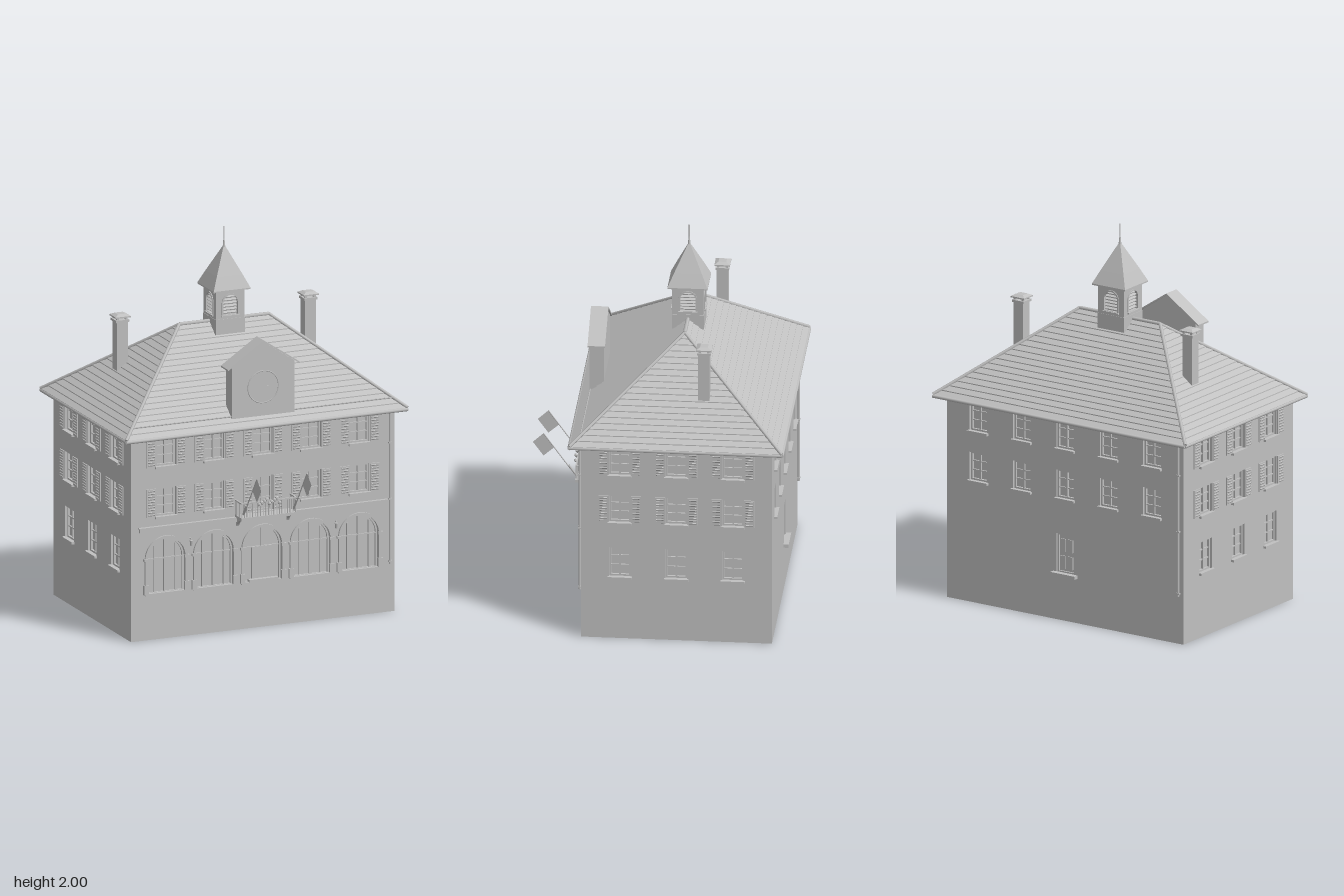
import * as THREE from 'three';

const stone = new THREE.MeshStandardMaterial({ color: 0xc0c0c0 });
stone.name = 'pale grey';
const thinStone = new THREE.MeshStandardMaterial({ color: 0xc0c0c0, side: THREE.DoubleSide });
thinStone.name = 'pale grey cloth';

const HX = 0.735, HZ = 0.49, ZC = -0.12; // wall half sizes and depth centre
const COLS = [-0.54, -0.27, 0, 0.27, 0.54];

function add(parent, name, geo, x = 0, y = 0, z = 0, mat = stone) {
  const m = new THREE.Mesh(geo, mat);
  m.name = name;
  m.position.set(x, y, z);
  parent.add(m);
  return m;
}
const box = (p, name, w, h, d, x, y, z) => add(p, name, new THREE.BoxGeometry(w, h, d), x, y, z);

function rod(p, name, a, b, r, sides = 8) {
  const A = new THREE.Vector3(...a), B = new THREE.Vector3(...b);
  const m = add(p, name, new THREE.CylinderGeometry(r, r, A.distanceTo(B), sides));
  m.position.copy(A).add(B).multiplyScalar(0.5);
  m.quaternion.setFromUnitVectors(new THREE.Vector3(0, 1, 0), B.sub(A).normalize());
  return m;
}

// Outline of an opening, square or round-headed
function outline(T, u, y0, y1, w, arch) {
  const s = new T(), h = w / 2;
  s.moveTo(u - h, y0);
  s.lineTo(u + h, y0);
  if (arch) {
    s.lineTo(u + h, y1 - h);
    s.absarc(u, y1 - h, h, 0, Math.PI, false);
  } else {
    s.lineTo(u + h, y1);
    s.lineTo(u - h, y1);
  }
  s.lineTo(u - h, y0);
  return s;
}
const extrude = (shape, depth) =>
  new THREE.ExtrudeGeometry(shape, { depth, bevelEnabled: false, curveSegments: 12 });

// Flat ring that follows an opening
function frame(p, name, o, out, inn, depth, z) {
  const s = outline(THREE.Shape, o.u, o.y0 - (o.arch ? 0 : out), o.y1 + out, o.w + 2 * out, o.arch);
  s.holes.push(outline(THREE.Path, o.u, o.y0 + (o.arch ? 0.002 : inn), o.y1 - inn, o.w - 2 * inn, o.arch));
  add(p, name, extrude(s, depth), 0, 0, z);
}

function windowParts(p, o) {
  const h = o.y1 - o.y0, mid = (o.y0 + o.y1) / 2;
  frame(p, 'windowFrame', o, 0, 0.009, 0.012, -0.024);
  if (o.door) {
    box(p, 'doorLeaf', o.w - 0.02, h - 0.02, 0.008, o.u, mid, -0.022);
    for (const s of [-1, 1]) for (const f of [0.27, 0.7])
      box(p, 'doorPanel', o.w * 0.28, h * 0.32, 0.008, o.u + s * o.w * 0.2, o.y0 + h * f, -0.017);
    return;
  }
  box(p, 'mullion', 0.009, h - 0.006, 0.01, o.u, o.arch ? mid - 0.004 : mid, -0.02);
  for (const f of o.arch ? [0.62] : [0.36, 0.68])
    box(p, 'glazingBar', o.w - 0.012, 0.006, 0.008, o.u, o.y0 + h * f, -0.02);
  if (o.arch) return;
  box(p, 'sill', o.w + 0.014, 0.012, 0.02, o.u, o.y0 - 0.004, 0.006);
  if (!o.shutters) return;
  for (const s of [-1, 1]) {
    const x = o.u + s * (o.w / 2 + 0.029);
    box(p, 'shutter', 0.052, h, 0.006, x, mid, 0.004);
    for (let i = 0; i < 10; i++)
      box(p, 'shutterLouver', 0.038, 0.006, 0.004, x, o.y0 + h * (i + 0.8) / 10.6, 0.008).rotation.x = 0.5;
  }
}

function wall(parent, name, width, openings) {
  const g = new THREE.Group();
  g.name = name;
  const s = new THREE.Shape();
  const h = width / 2;
  s.moveTo(-h, 0); s.lineTo(h, 0); s.lineTo(h, 1.09); s.lineTo(-h, 1.09);
  for (const o of openings) s.holes.push(outline(THREE.Path, o.u, o.y0, o.y1, o.w, o.arch));
  add(g, 'wallFace', extrude(s, 0.03), 0, 0, -0.03);
  openings.forEach(o => windowParts(g, o));
  parent.add(g);
  return g;
}

// Stepped surface from rectangular rings [halfX, halfZ, y]
function ringSurface(rings) {
  const v = [];
  const corner = ([x, z, y], k) => [[x, y, z], [x, y, -z], [-x, y, -z], [-x, y, z]][k % 4];
  for (let i = 0; i + 1 < rings.length; i++) for (let k = 0; k < 4; k++) {
    const a = corner(rings[i], k), b = corner(rings[i], k + 1);
    const c = corner(rings[i + 1], k + 1), d = corner(rings[i + 1], k);
    v.push(...a, ...b, ...c, ...a, ...c, ...d);
  }
  const g = new THREE.BufferGeometry();
  g.setAttribute('position', new THREE.Float32BufferAttribute(v, 3));
  g.computeVertexNormals();
  return g;
}

function buildRoof(p) {
  const rings = [[0, 0, 1.075], [0.785, 0.545, 1.075]], n = 19;
  const at = (t, lift) => [0.785 - 0.535 * t, 0.545 * (1 - t), 1.083 + 0.422 * t + lift];
  for (let i = 0; i < n; i++) rings.push(at(i / n, 0.005), at((i + 1) / n, 0));
  add(p, 'tiledRoof', ringSurface(rings), 0, 0, ZC);
  for (const sx of [-1, 1]) for (const sz of [-1, 1])
    rod(p, 'hipCap', [sx * 0.785, 1.088, ZC + sz * 0.545], [sx * 0.25, 1.507, ZC], 0.009, 6);
  rod(p, 'ridgeCap', [-0.25, 1.507, ZC], [0.25, 1.507, ZC], 0.01, 6);
  for (const s of [-1, 1]) {
    rod(p, 'gutter', [-0.785, 1.078, ZC + s * 0.545], [0.785, 1.078, ZC + s * 0.545], 0.01);
    rod(p, 'gutter', [s * 0.78, 1.078, ZC - 0.545], [s * 0.78, 1.078, ZC + 0.545], 0.01);
  }
  rod(p, 'snowRail', [-0.73, 1.135, 0.372], [0.73, 1.135, 0.372], 0.003, 6);
}

function buildChimney(p, x) {
  const g = new THREE.Group();
  g.name = 'chimney';
  g.position.set(x, 0, -0.245);
  p.add(g);
  box(g, 'stack', 0.06, 0.29, 0.058, 0, 1.385, 0);
  box(g, 'collar', 0.074, 0.012, 0.07, 0, 1.53, 0);
  for (const sx of [-1, 1]) for (const sz of [-1, 1])
    box(g, 'capPost', 0.012, 0.015, 0.012, sx * 0.024, 1.543, sz * 0.022);
  add(g, 'cap', ringSurface([[0, 0, 1.548], [0.042, 0.04, 1.548], [0.042, 0.04, 1.555], [0.022, 0.02, 1.565], [0, 0, 1.565]]));
}

function buildCupola(p) {
  const g = new THREE.Group();
  g.name = 'cupola';
  g.position.z = ZC;
  p.add(g);
  box(g, 'core', 0.13, 0.24, 0.13, 0, 1.57, 0);
  box(g, 'base', 0.164, 0.08, 0.164, 0, 1.49, 0);
  const o = { u: 0, y0: 1.55, y1: 1.655, w: 0.08, arch: true };
  for (let k = 0; k < 4; k++) {
    const side = new THREE.Group();
    side.name = 'cupolaSide';
    side.rotation.y = k * Math.PI / 2;
    g.add(side);
    const s = new THREE.Shape();
    s.moveTo(-0.08, 1.45); s.lineTo(0.08, 1.45); s.lineTo(0.08, 1.69); s.lineTo(-0.08, 1.69);
    s.holes.push(outline(THREE.Path, 0, o.y0, o.y1, o.w, true));
    add(side, 'cupolaWall', extrude(s, 0.016), 0, 0, 0.064);
    frame(side, 'cupolaArch', o, 0.008, 0, 0.004, 0.08);
    box(side, 'cupolaSill', 0.1, 0.008, 0.012, 0, 1.545, 0.084);
    for (let i = 0; i < 6; i++)
      box(side, 'louver', i === 5 ? 0.05 : 0.078, 0.004, 0.014, 0, 1.563 + i * 0.0165, 0.071).rotation.x = 0.5;
  }
  add(g, 'cupolaRoof', ringSurface([[0, 0, 1.68], [0.103, 0.103, 1.68], [0.103, 0.103, 1.687],
    [0.072, 0.072, 1.755], [0, 0, 1.905]]));
  add(g, 'finial', new THREE.CylinderGeometry(0.003, 0.008, 0.05, 8), 0, 1.91, 0);
  rod(g, 'spire', [0, 1.9, 0], [0, 2, 0], 0.003);
}

// Clock gable standing on the front slope
function buildGable(p) {
  const s = new THREE.Shape();
  [[-0.175, 1.115], [0.175, 1.115], [0.175, 1.395], [0, 1.512], [-0.175, 1.395]]
    .forEach(([x, y], i) => (i ? s.lineTo(x, y) : s.moveTo(x, y)));
  add(p, 'clockGable', extrude(s, 0.075), 0, 0, 0.302);
  const r = new THREE.Shape();
  [[-0.2, 1.38], [0, 1.512], [0.2, 1.38], [0.2, 1.388], [0, 1.522], [-0.2, 1.388]]
    .forEach(([x, y], i) => (i ? r.lineTo(x, y) : r.moveTo(x, y)));
  add(p, 'gableRoof', extrude(r, 0.09), 0, 0, 0.294);
  add(p, 'clockRing', new THREE.TorusGeometry(0.085, 0.003, 6, 36), 0, 1.275, 0.377);
  box(p, 'minuteHand', 0.004, 0.065, 0.003, 0, 1.305, 0.379);
  box(p, 'hourHand', 0.04, 0.005, 0.003, 0.018, 1.275, 0.379);
}

function buildBalcony(p) {
  const g = new THREE.Group();
  g.name = 'balcony';
  p.add(g);
  box(g, 'slab', 0.31, 0.016, 0.085, 0, 0.604, 0.41);
  const b = new THREE.Shape();
  b.moveTo(0, 0.55); b.quadraticCurveTo(0.015, 0.585, 0.07, 0.597); b.lineTo(0, 0.597);
  box(g, 'handrail', 0.31, 0.007, 0.007, 0, 0.688, 0.447);
  for (let i = 0; i <= 20; i++)
    box(g, 'baluster', 0.004, 0.08, 0.004, -0.15 + i * 0.015, 0.648, 0.447);
  for (const s of [-1, 1]) {
    const bracket = add(g, 'bracket', extrude(b, 0.016), s * 0.14 + 0.008, 0, 0.37);
    bracket.rotation.y = -Math.PI / 2;
    box(g, 'sideRail', 0.007, 0.007, 0.08, s * 0.152, 0.688, 0.41);
    for (let i = 0; i < 5; i++)
      box(g, 'sideBaluster', 0.004, 0.08, 0.004, s * 0.152, 0.648, 0.378 + i * 0.015);
    // Slanting flagpole and flag
    rod(g, 'flagpole', [s * 0.14, 0.665, 0.475], [s * 0.14, 0.86, 0.615], 0.003, 6);
    rod(g, 'poleSocket', [s * 0.14, 0.63, 0.445], [s * 0.14, 0.685, 0.485], 0.006, 6);
    const f = new THREE.Shape();
    [[0.615, 0.86], [0.67, 0.81], [0.615, 0.735], [0.558, 0.785]]
      .forEach(([z, y], i) => (i ? f.lineTo(-z, y) : f.moveTo(-z, y)));
    add(g, 'flag', new THREE.ShapeGeometry(f), s * 0.14, 0, 0, thinStone).rotation.y = Math.PI / 2;
  }
  for (let i = 0; i < 9; i++)
    add(g, 'flower', new THREE.IcosahedronGeometry(0.01, 0), -0.056 + i * 0.014, 0.676 + (i * 5 % 4) * 0.008, 0.457);
}

export function createModel() {
  const model = new THREE.Group();
  model.name = 'townHall';
  box(model, 'bodyCore', 2 * HX - 0.05, 1.08, 2 * HZ - 0.05, 0, 0.542, ZC);

  const upper = (cols, shutters) => cols.flatMap(u =>
    [[0.65, 0.8], [0.915, 1.068]].map(([y0, y1]) => ({ u, y0, y1, w: 0.11, shutters })));

  // Front wall with an arcade of five arches
  const arches = COLS.map(u => ({ u, y0: 0.245, y1: 0.532, w: 0.21, arch: true }));
  const rows = upper(COLS, true);
  rows.find(o => o.u === 0).y0 = 0.615;
  const front = wall(model, 'frontWall', 2 * HX, [...arches, ...rows]);
  front.position.z = ZC + HZ;
  for (const a of arches) {
    frame(front, 'archTrim', a, 0.014, 0, 0.01, 0);
    box(front, 'archSill', 0.24, 0.01, 0.014, a.u, 0.242, 0.004);
    for (const s of [-1, 1]) {
      box(front, 'pierCapital', 0.026, 0.014, 0.016, a.u + s * 0.114, 0.427, 0.006);
      box(front, 'pierBase', 0.026, 0.05, 0.016, a.u + s * 0.114, 0.268, 0.006);
    }
    if (a.u === 0) {
      box(front, 'entranceDoor', 0.11, 0.18, 0.012, 0, 0.335, -0.018);
      box(front, 'entranceStep', 0.16, 0.014, 0.024, 0, 0.252, 0.004);
    } else for (const s of [-1, 1])
      box(front, 'sideMullion', 0.006, 0.25, 0.008, a.u + s * 0.06, 0.37, -0.02);
  }
  box(front, 'stringCourse', 1.38, 0.022, 0.012, 0, 0.586, 0.005);
  box(front, 'stringCourseLip', 1.39, 0.006, 0.02, 0, 0.598, 0.008);
  for (const x of [-0.405, 0.405]) {
    box(front, 'lanternArm', 0.005, 0.005, 0.02, x, 0.515, 0.008);
    add(front, 'lantern', new THREE.CylinderGeometry(0.009, 0.006, 0.028, 6), x, 0.493, 0.016);
  }

  // Back wall with its door
  const back = wall(model, 'backWall', 2 * HX,
    [...upper(COLS, false), { u: 0, y0: 0.25, y1: 0.46, w: 0.11, door: true }]);
  back.rotation.y = Math.PI;
  back.position.z = ZC - HZ;
  box(back, 'doorStep', 0.15, 0.018, 0.03, 0, 0.246, 0.012);

  // Side walls
  for (const s of [-1, 1]) {
    const cols = [-0.29, 0, 0.29];
    const side = wall(model, s > 0 ? 'leftWall' : 'rightWall', 2 * HZ - 0.002,
      [...upper(cols, true), ...cols.map(u => ({ u, y0: 0.345, y1: 0.51, w: 0.11 }))]);
    side.rotation.y = s * Math.PI / 2;
    side.position.set(s * HX, 0, ZC);
  }

  // Downpipes
  for (const [x, z] of [[0.708, 0.378], [-0.708, -0.618]]) {
    rod(model, 'downpipe', [x, 0.255, z], [x, 1.07, z], 0.006);
    for (const y of [0.27, 0.6, 0.9]) box(model, 'pipeClip', 0.018, 0.008, 0.014, x, y, z);
  }

  buildRoof(model);
  for (const x of [-0.525, 0.525]) buildChimney(model, x);
  buildCupola(model);
  buildGable(model);
  buildBalcony(model);
  return model;
}
